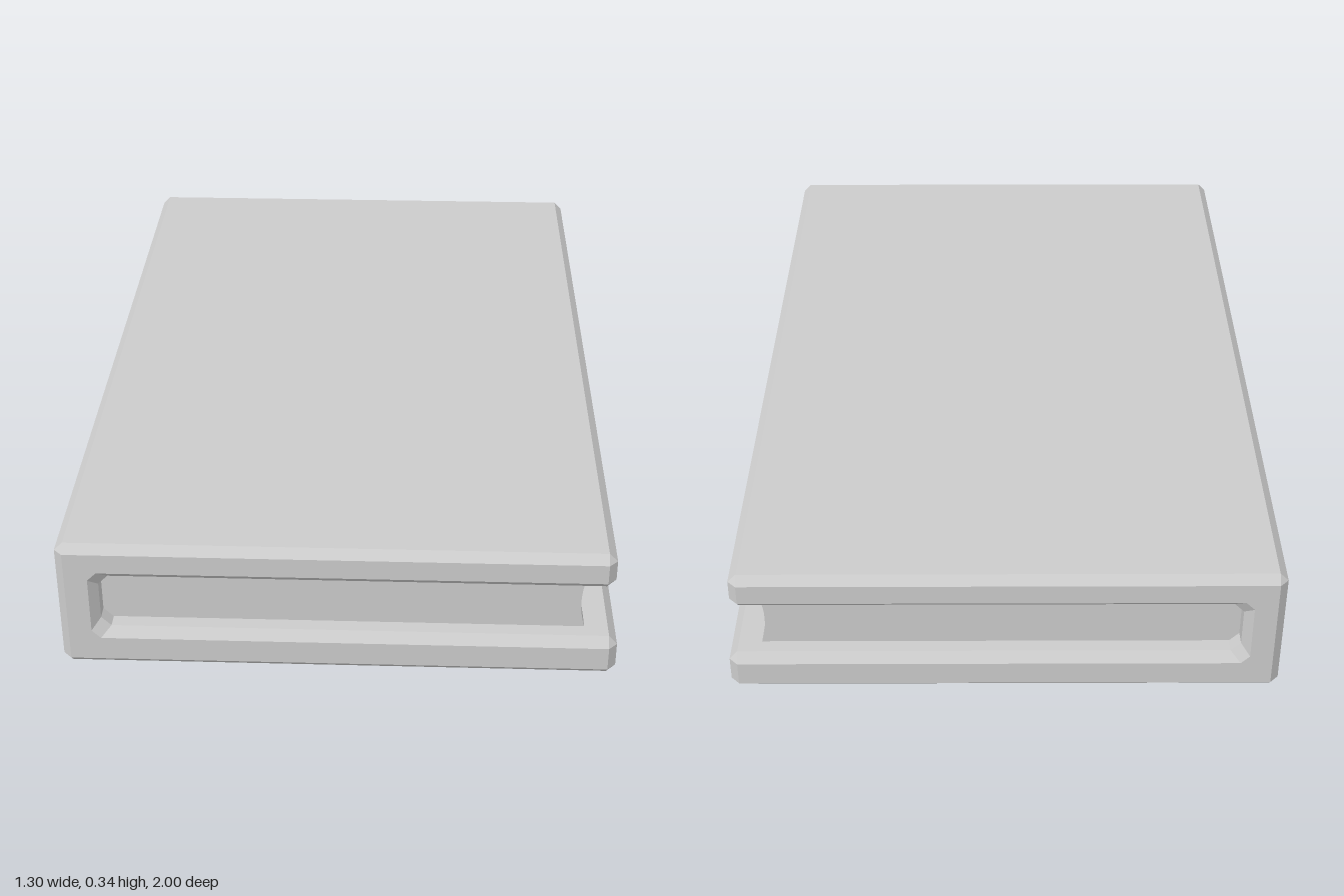
import * as THREE from 'three';

const material = new THREE.MeshStandardMaterial({ color: 0xcccccc, flatShading: true, side: THREE.DoubleSide });

// C-shaped cover: each row is [x, y] of the long wall and [x, y] of the inset end face,
// counter-clockwise seen from the front.
const coverProfile = [
  [-0.63, 0, -0.63, 0.02], [0.63, 0, 0.63, 0.02],
  [0.65, 0.02, 0.63, 0.02], [0.65, 0.08, 0.63, 0.08],
  [0.63, 0.103, 0.63, 0.08], [-0.532, 0.103, -0.555, 0.08],
  [-0.555, 0.126, -0.576, 0.101], [-0.555, 0.222, -0.576, 0.244],
  [-0.532, 0.245, -0.555, 0.265], [0.615, 0.245, 0.615, 0.265],
  [0.635, 0.265, 0.615, 0.265], [0.635, 0.315, 0.615, 0.315],
  [0.615, 0.335, 0.615, 0.315], [-0.63, 0.335, -0.63, 0.315],
  [-0.65, 0.315, -0.63, 0.315], [-0.65, 0.02, -0.63, 0.02],
];

function coverGeometry() {
  const pos = [];
  const tri = (...pts) => pts.forEach((p) => pos.push(...p));
  const end = (r, z) => [r[2], r[3], z];
  const wall = (r, z) => [r[0], r[1], z];
  const same = (p, q) => p[0] === q[0] && p[1] === q[1];
  const n = coverProfile.length;

  // walls and chamfers, ring by ring from back to front
  for (let i = 0; i < n; i++) {
    const a = coverProfile[i], b = coverProfile[(i + 1) % n];
    const ring = (r) => [end(r, -1), wall(r, -0.98), wall(r, 0.98), end(r, 1)];
    const A = ring(a), B = ring(b);
    for (let k = 0; k < 3; k++) {
      if (!same(A[k], B[k])) tri(A[k], B[k], B[k + 1]);
      if (!same(A[k + 1], B[k + 1])) tri(A[k], B[k + 1], A[k + 1]);
    }
  }

  // flat end faces
  const outline = coverProfile
    .filter((r, i) => {
      const p = coverProfile[(i + n - 1) % n];
      return r[2] !== p[2] || r[3] !== p[3];
    })
    .map((r) => new THREE.Vector2(r[2], r[3]));
  for (const [a, b, c] of THREE.ShapeUtils.triangulateShape(outline, [])) {
    const at = (i, z) => [outline[i].x, outline[i].y, z];
    tri(at(a, 1), at(b, 1), at(c, 1));
    tri(at(c, -1), at(b, -1), at(a, -1));
  }

  const g = new THREE.BufferGeometry();
  g.setAttribute('position', new THREE.Float32BufferAttribute(pos, 3));
  g.computeVertexNormals();
  return g;
}

// Page block with a hollow fore edge
function pagesGeometry() {
  const s = new THREE.Shape();
  s.moveTo(-0.555, 0.103);
  s.lineTo(0.575, 0.103);
  s.quadraticCurveTo(0.553, 0.174, 0.575, 0.245);
  s.lineTo(-0.555, 0.245);
  s.closePath();
  const g = new THREE.ExtrudeGeometry(s, { depth: 1.89, bevelEnabled: false, curveSegments: 8 });
  return g.translate(0, 0, -0.945);
}

export function createModel() {
  const group = new THREE.Group();
  group.name = 'book';
  const add = (name, geometry) => {
    const mesh = new THREE.Mesh(geometry, material);
    mesh.name = name;
    group.add(mesh);
  };
  add('cover', coverGeometry());
  add('pages', pagesGeometry());
  return group;
}
